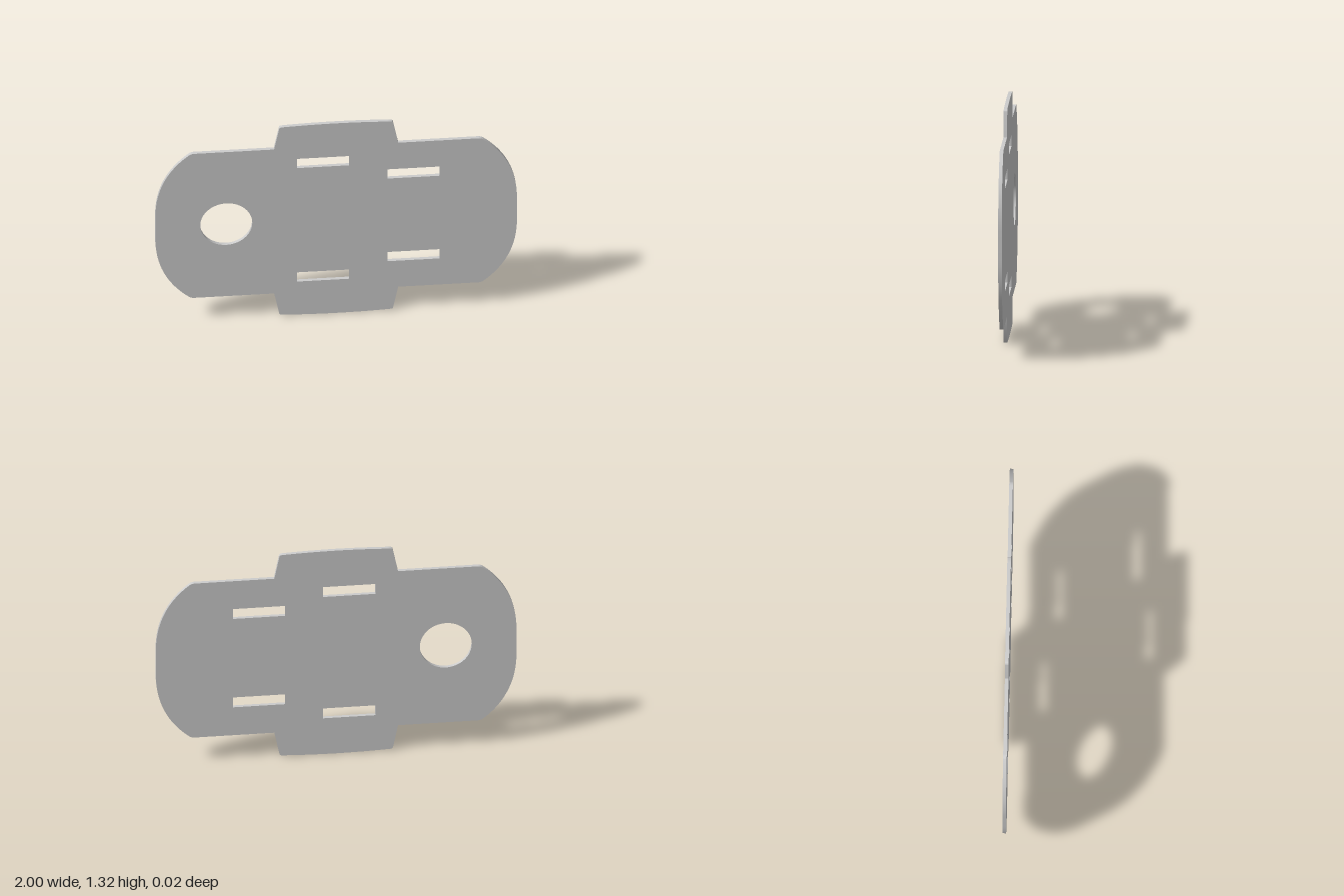
import * as THREE from 'three';
import { toCreasedNormals } from 'three/addons/utils/BufferGeometryUtils.js';

const THICKNESS = 0.02;
const HALF_HEIGHT = 0.658;

// One quarter of the outline, from the right end up to the top centre
function quarterOutline() {
  const path = new THREE.Path();
  path.moveTo(1, 0);
  path.lineTo(1, 0.08);
  path.bezierCurveTo(1, 0.25, 0.94, 0.39, 0.815, 0.49); // rounded end
  path.quadraticCurveTo(0.803, 0.5, 0.785, 0.5); // softened corner
  path.lineTo(0.343, 0.5);
  path.lineTo(0.315, 0.64); // slanted side of the tab
  path.quadraticCurveTo(0.313, 0.649, 0.303, 0.65);
  path.quadraticCurveTo(0.15, HALF_HEIGHT, 0, HALF_HEIGHT); // slightly bowed tab edge
  return path.getPoints(16);
}

// Mirror the quarter into a closed outline
function plateShape() {
  const q = quarterOutline();
  const flip = (pts, sx, sy) => pts.map((p) => new THREE.Vector2(p.x * sx, p.y * sy));
  const back = q.slice().reverse();
  return new THREE.Shape([
    ...q,
    ...flip(back.slice(1), -1, 1),
    ...flip(q.slice(1), -1, -1),
    ...flip(back.slice(1, -1), 1, -1),
  ]);
}

// Rectangular strap slot, centred on (x, y)
function slot(x, y, w = 0.29, h = 0.064) {
  return new THREE.Path([
    new THREE.Vector2(x - w / 2, y - h / 2),
    new THREE.Vector2(x - w / 2, y + h / 2),
    new THREE.Vector2(x + w / 2, y + h / 2),
    new THREE.Vector2(x + w / 2, y - h / 2),
  ]);
}

export function createModel() {
  const group = new THREE.Group();
  group.name = 'slottedPlate';

  const shape = plateShape();

  // Two pairs of slots, mirrored above and below the middle
  for (const side of [1, -1]) {
    shape.holes.push(slot(-0.073, side * 0.394), slot(0.428, side * 0.287));
  }

  // Round hole near one end
  shape.holes.push(new THREE.Path().absarc(-0.608, 0, 0.144, 0, Math.PI * 2, true));

  const extruded = new THREE.ExtrudeGeometry(shape, {
    depth: THICKNESS,
    bevelEnabled: false,
    curveSegments: 32,
  });
  extruded.translate(0, HALF_HEIGHT, -THICKNESS / 2);

  const plate = new THREE.Mesh(
    toCreasedNormals(extruded, 0.5),
    new THREE.MeshStandardMaterial({ color: 0xcccccc })
  );
  plate.name = 'plate';
  group.add(plate);
  return group;
}
